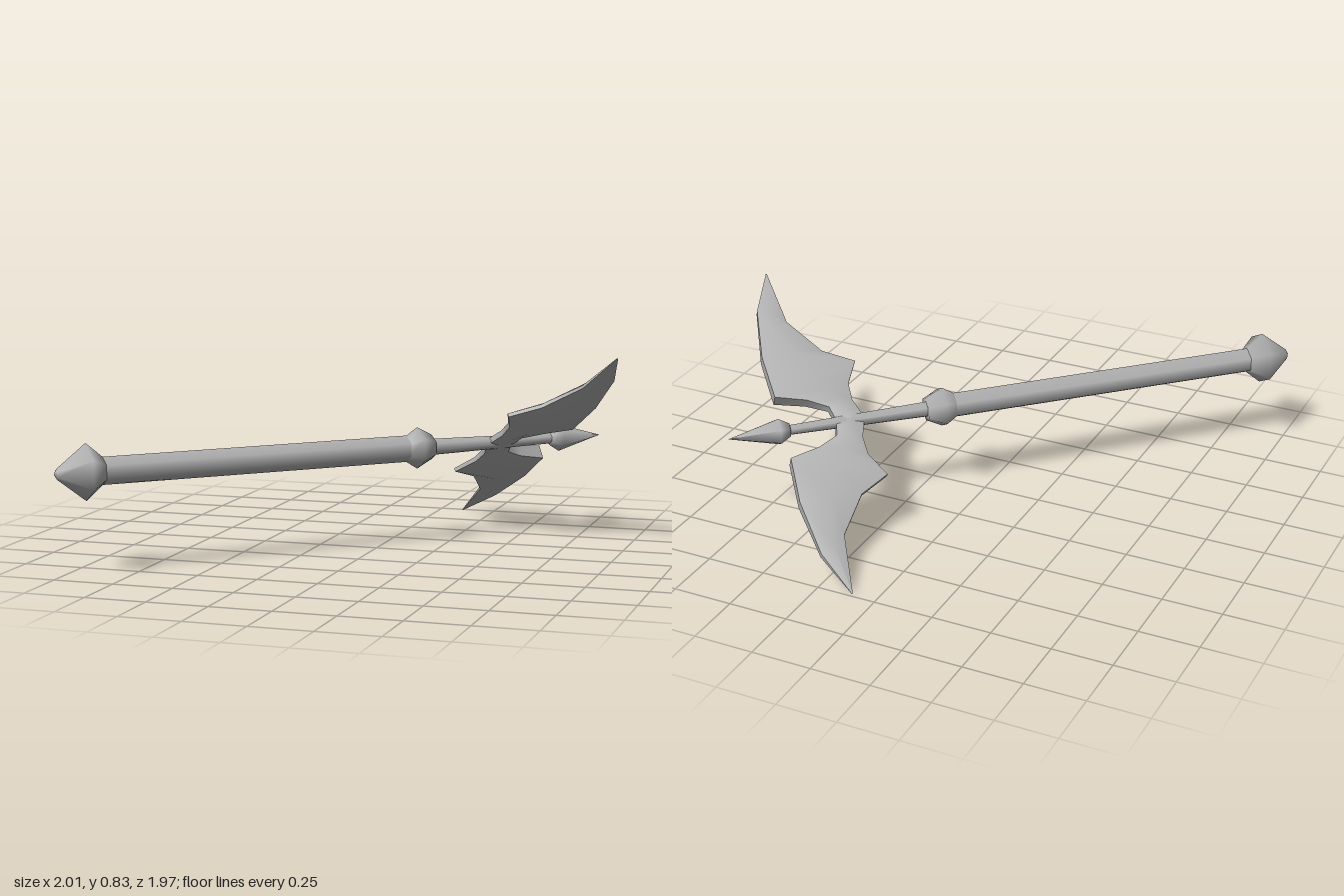
import * as THREE from 'three';
import { toCreasedNormals } from 'three/addons/utils/BufferGeometryUtils.js';

const steel = new THREE.MeshStandardMaterial({ color: 0xb2b2b2 });
steel.name = 'grey steel';

// Six-sided turned part; profile is [radius, distance along the shaft]
function turned(name, profile) {
  const pts = profile.map(([r, s]) => new THREE.Vector2(r, s));
  const mesh = new THREE.Mesh(new THREE.LatheGeometry(pts, 6), steel);
  mesh.name = name;
  return mesh;
}

// Blade stations from root to tip:
// [inner along, inner out, outer along, outer out, half thickness inner, middle, outer]
const STATIONS = [
  [1.92, 0, 2.04, 0, 0.012, 0.026, 0.018],
  [1.95, 0.09, 2.055, 0.068, 0.012, 0.03, 0.02],
  [1.947, 0.17, 2.14, 0.112, 0.01, 0.035, 0.026],
  [1.892, 0.275, 2.266, 0.145, 0.008, 0.04, 0.03],
  [2.017, 0.345, 2.275, 0.345, 0.008, 0.036, 0.026],
  [2.13, 0.51, 2.242, 0.58, 0.006, 0.022, 0.014],
  [2.158, 0.765, 2.162, 0.766, 0.001, 0.0015, 0.001],
];

function bladeGeometry() {
  const pos = [], index = [], n = 6;
  for (const [s0, w0, s1, w1, ti, tm, to] of STATIONS) {
    const sm = (s0 + s1) / 2, wm = (w0 + w1) / 2;
    pos.push(w0, s0, ti, wm, sm, tm, w1, s1, to);
    pos.push(w1, s1, -to, wm, sm, -tm, w0, s0, -ti);
  }
  for (let i = 0; i < STATIONS.length - 1; i++) {
    for (let j = 0; j < n; j++) {
      const a = i * n + j, b = i * n + (j + 1) % n;
      index.push(a, a + n, b + n, a, b + n, b);
    }
  }
  const g = new THREE.BufferGeometry();
  g.setAttribute('position', new THREE.Float32BufferAttribute(pos, 3));
  g.setIndex(index);
  return toCreasedNormals(g, 0.95);
}

export function createModel() {
  const model = new THREE.Group();
  model.name = 'wingedPolearm';

  // The weapon is built along its own y axis, then laid diagonally
  const weapon = new THREE.Group();
  weapon.name = 'weapon';
  weapon.add(
    turned('pommel', [[0, 0], [0.022, 0.012], [0.115, 0.13], [0.055, 0.2], [0, 0.2]]),
    turned('handle', [[0.056, 0.17], [0.056, 1.56]]),
    turned('collar', [[0.05, 1.525], [0.088, 1.586], [0.052, 1.655], [0, 1.655]]),
    turned('neck', [[0.035, 1.64], [0.022, 2.26]]),
    turned('spike', [[0, 2.235], [0.03, 2.235], [0.058, 2.28], [0, 2.489]]),
  );

  // Two wing-shaped blades, half a turn apart and rolled about the shaft
  const geometry = bladeGeometry();
  ['leftBlade', 'rightBlade'].forEach((name, i) => {
    const blade = new THREE.Mesh(geometry, steel);
    blade.name = name;
    blade.rotation.y = -0.569 + i * Math.PI;
    weapon.add(blade);
  });

  const along = new THREE.Vector3(0.719, 0, -0.695).normalize();
  const up = new THREE.Vector3(0, 1, 0);
  const side = new THREE.Vector3().crossVectors(along, up);
  weapon.quaternion.setFromRotationMatrix(new THREE.Matrix4().makeBasis(side, along, up));
  weapon.position.set(-1, 0.415, 0.98);
  model.add(weapon);
  return model;
}
